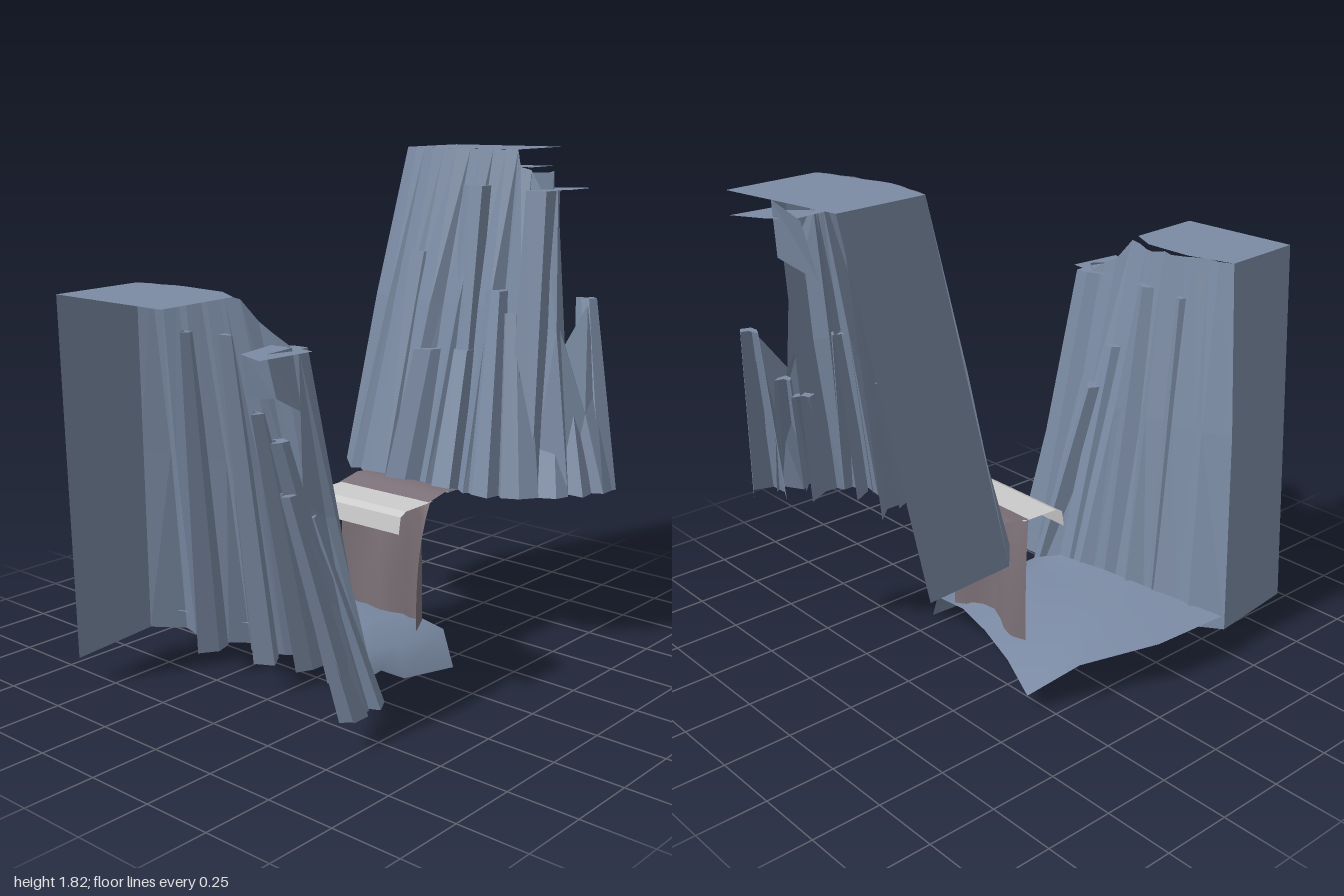
import * as THREE from 'three';

const make = (color, flatShading) => new THREE.MeshStandardMaterial({ color, flatShading, side: THREE.DoubleSide });
const slate = make(0x7b8ba4, true);
const soil = make(0x7b8ba4, false);
const brown = make(0x7d7279, false);
const grey = make(0xcccccc, true);

// Open surface joining rows of equally many [x, y, z] points
function sheet(name, rows, material) {
  const n = rows[0].length, index = [];
  for (let r = 0; r + 1 < rows.length; r++) {
    for (let i = 0; i + 1 < n; i++) {
      const a = r * n + i, b = a + n;
      index.push(a, a + 1, b + 1, a, b + 1, b);
    }
  }
  const geo = new THREE.BufferGeometry();
  geo.setAttribute('position', new THREE.Float32BufferAttribute(rows.flat(2), 3));
  geo.setIndex(index);
  geo.computeVertexNormals();
  const mesh = new THREE.Mesh(geo, material);
  mesh.name = name;
  return mesh;
}

// Flat cap from [x, z] corners at height y
function cap(name, corners, y) {
  const shape = new THREE.Shape(corners.map(([x, z]) => new THREE.Vector2(x, -z)));
  const mesh = new THREE.Mesh(new THREE.ShapeGeometry(shape).rotateX(-Math.PI / 2), slate);
  mesh.position.y = y;
  mesh.name = name;
  return mesh;
}

// Leaning, tapering rock column with a flat top, open below and on its hidden side
const columnProfile = [[1, 0], [1, 1], [0, 1]].map(([x, y]) => new THREE.Vector2(x, y));
function column([bx, bz, tx, ty, tz, r0, r1], y0, facing, seed) {
  const geo = new THREE.LatheGeometry(columnProfile, 4, facing - Math.PI * 2 / 3, Math.PI * 4 / 3);
  const p = geo.attributes.position;
  for (let i = 0; i < p.count; i++) {
    const t = p.getY(i), k = Math.floor(i / 3);
    const r = (r0 + (r1 - r0) * t) * (1 + 0.22 * Math.sin(k * 2.4 + seed * 1.7));
    p.setXYZ(i, bx + (tx - bx) * t + p.getX(i) * r, y0 + (ty - y0) * t, bz + (tz - bz) * t + p.getZ(i) * r);
  }
  const mesh = new THREE.Mesh(geo, slate);
  mesh.name = 'rockColumn';
  return mesh;
}

// Cliff: roof, back wall, faceted rock face, ledges and columns; outer side stays open
function cliff(name, c) {
  const g = new THREE.Group();
  g.name = name;
  g.add(cap('roof', c.roof, c.top));
  g.add(sheet('backWall', c.back, slate));
  const low = c.base.map(([x, z]) => [x, c.y0, z]);
  const mid = c.base.map(([x, z], i) => {
    const [tx, ty, tz] = c.rim[i];
    return [x * 0.46 + tx * 0.54, c.y0 * 0.46 + ty * 0.54, z * 0.46 + tz * 0.54 + (i % 2 ? 0.012 : -0.012)];
  });
  g.add(sheet('rockFace', [low, mid, c.rim], slate));
  g.add(sheet('overhang', c.overhang, slate));
  c.ledges.forEach(([y, pts]) => g.add(cap('ledge', pts, y)));
  c.columns.forEach((k, i) => g.add(column(k, c.y0, c.facing, i + 1)));
  return g;
}

const tallCliff = {
  y0: 0.6, top: 1.82, facing: -Math.PI / 4,
  roof: [[0.6, -0.29], [0.93, -0.31], [1, 0.15], [0.66, 0.18], [0.62, 0.04], [0.58, -0.1]],
  back: [[[0.75, 0.6, -0.46], [0.41, 0.6, -0.44]], [[0.93, 1.82, -0.31], [0.6, 1.82, -0.29]]],
  base: [[0.41, -0.44], [0.31, -0.33], [0.34, -0.28], [0.29, -0.22], [0.32, -0.16], [0.27, -0.08], [0.34, -0.02],
    [0.28, 0.06], [0.37, 0.12], [0.3, 0.22], [0.4, 0.28], [0.38, 0.4], [0.46, 0.4], [0.52, 0.53], [0.57, 0.5], [0.63, 0.61], [0.69, 0.61]],
  rim: [[0.6, 1.82, -0.29], [0.59, 1.82, -0.24], [0.59, 1.82, -0.2], [0.58, 1.82, -0.15], [0.58, 1.82, -0.1], [0.59, 1.82, -0.05],
    [0.61, 1.82, 0], [0.61, 1.82, 0.05], [0.63, 1.82, 0.09], [0.64, 1.82, 0.14], [0.66, 1.82, 0.18], [0.62, 1.76, 0.22],
    [0.63, 1.75, 0.26], [0.61, 1.68, 0.32], [0.64, 1.68, 0.37], [0.67, 1.12, 0.4], [0.77, 1.26, 0.43]],
  overhang: [[[0.62, 1.74, 0.24], [0.7, 1.74, 0.31], [0.78, 1.74, 0.26], [0.78, 1.7, 0.1]],
    [[0.64, 1.58, 0.28], [0.66, 1.54, 0.34], [0.75, 1.54, 0.29], [0.73, 1.5, 0.09]]],
  ledges: [
    [1.68, [[0.6, 0.22], [0.74, 0.2], [0.8, 0.27], [0.86, 0.38], [0.7, 0.38], [0.61, 0.33]]],
    [1.76, [[0.6, 0.1], [0.72, 0.12], [0.78, 0.26], [0.62, 0.27]]],
  ],
  columns: [
    [0.69, 0.54, 0.81, 1.28, 0.4, 0.07, 0.035], [0.59, 0.53, 0.7, 1.09, 0.38, 0.06, 0.03],
    [0.5, 0.48, 0.64, 1.02, 0.36, 0.06, 0.035], [0.41, 0.38, 0.53, 1.24, 0.27, 0.07, 0.04],
    [0.36, 0.27, 0.52, 1.32, 0.2, 0.07, 0.04], [0.33, 0.12, 0.46, 1.1, 0.1, 0.07, 0.05],
    [0.31, -0.07, 0.44, 1.09, -0.05, 0.07, 0.06], [0.35, -0.2, 0.53, 1.44, -0.16, 0.08, 0.06],
    [0.42, 0.08, 0.6, 1.69, 0.05, 0.1, 0.06], [0.5, 0.36, 0.63, 1.68, 0.31, 0.09, 0.07],
  ],
};

const lowCliff = {
  y0: 0.1, top: 1.41, facing: Math.PI / 4,
  roof: [[-1, 0.09], [-1, -0.4], [-0.65, -0.43], [-0.61, -0.25], [-0.62, -0.05], [-0.68, 0.06]],
  back: [[[-0.84, 0.1, -0.58], [-0.48, 0.1, -0.62]], [[-1, 1.41, -0.4], [-0.65, 1.41, -0.43]]],
  base: [[-0.48, -0.62], [-0.4, -0.51], [-0.42, -0.44], [-0.38, -0.36], [-0.4, -0.29], [-0.35, -0.23], [-0.38, -0.14],
    [-0.35, -0.06], [-0.31, -0.01], [-0.34, 0.08], [-0.29, 0.18], [-0.38, 0.25], [-0.38, 0.34], [-0.45, 0.46], [-0.49, 0.42], [-0.54, 0.49], [-0.61, 0.49]],
  rim: [[-0.65, 1.41, -0.43], [-0.63, 1.41, -0.38], [-0.63, 1.41, -0.33], [-0.61, 1.41, -0.28], [-0.62, 1.4, -0.23], [-0.6, 1.4, -0.18],
    [-0.62, 1.4, -0.13], [-0.61, 1.39, -0.08], [-0.62, 1.39, -0.04], [-0.63, 1.4, 0], [-0.65, 1.4, 0.06], [-0.61, 1.33, 0.1],
    [-0.61, 1.3, 0.16], [-0.59, 1.26, 0.22], [-0.61, 1.26, 0.27], [-0.66, 0.8, 0.33], [-0.74, 0.84, 0.35]],
  overhang: [[[-0.73, 1.26, 0.14], [-0.73, 1.26, 0.25], [-0.64, 1.27, 0.27], [-0.58, 1.26, 0.18]],
    [[-0.69, 1.1, 0.13], [-0.7, 1.12, 0.26], [-0.62, 1.07, 0.29], [-0.58, 1.1, 0.2]]],
  ledges: [[1.26, [[-0.58, 0.14], [-0.78, 0.19], [-0.82, 0.31], [-0.6, 0.32]]]],
  columns: [
    [-0.55, 0.42, -0.73, 1, 0.29, 0.06, 0.035], [-0.59, 0.44, -0.74, 0.84, 0.33, 0.05, 0.03],
    [-0.46, 0.42, -0.63, 0.75, 0.32, 0.06, 0.03], [-0.36, 0.2, -0.49, 0.86, 0.08, 0.07, 0.04],
    [-0.37, 0.06, -0.55, 1.02, 0.03, 0.06, 0.04], [-0.43, 0.3, -0.6, 1.26, 0.22, 0.07, 0.05],
    [-0.42, -0.1, -0.59, 1.27, -0.08, 0.07, 0.04], [-0.46, -0.32, -0.6, 1.26, -0.25, 0.07, 0.03],
  ],
};

export function createModel() {
  const model = new THREE.Group();
  model.name = 'canyon';
  model.add(cliff('tallCliff', tallCliff), cliff('lowCliff', lowCliff));

  // Uneven valley floor, dropping away at its front lip
  model.add(sheet('valleyFloor', [
    [[-0.28, 0.06, 0.24], [-0.18, 0.07, 0.24], [-0.09, 0.02, 0.27], [0.14, 0, 0.31]],
    [[-0.29, 0.15, 0.19], [-0.18, 0.14, 0.2], [-0.06, 0.12, 0.22], [0.17, 0.12, 0.24]],
    [[-0.32, 0.19, 0.08], [-0.18, 0.17, 0.08], [-0.03, 0.18, 0.08], [0.18, 0.14, 0.08]],
    [[-0.36, 0.19, -0.12], [-0.2, 0.17, -0.12], [-0.02, 0.17, -0.12], [0.21, 0.13, -0.08]],
    [[-0.4, 0.18, -0.35], [-0.2, 0.17, -0.35], [0, 0.16, -0.33], [0.25, 0.1, -0.25]],
    [[-0.45, 0.17, -0.63], [-0.15, 0.16, -0.6], [0.12, 0.13, -0.48], [0.31, 0.06, -0.42]],
  ], soil));

  // Wavy rock drop below the shelf
  const drop = [];
  for (let j = 0; j <= 8; j++) {
    const t = j / 8, row = [];
    for (let i = 0; i <= 8; i++) {
      const u = i / 8;
      const foot = i === 0 ? 0.06 : 0.135 + 0.03 * Math.sin(u * 8 + 1);
      row.push([0.135 + (foot - 0.135) * (1 - t ** 3), 0.13 + 0.47 * t, 0.2 - 0.43 * u]);
    }
    drop.push(row);
  }
  model.add(sheet('rockDrop', drop, brown));

  // Thin shelf with a downturned lip, and the brown bed behind it
  const run = (profile) => [0.2, -0.02, -0.225].map((z) => profile.map(([x, y]) => [x, y, z]));
  model.add(sheet('shelf', run([[-0.04, 0.52], [-0.03, 0.58], [0, 0.595], [0.15, 0.598]]), grey));
  model.add(sheet('upperBed', run([[0.13, 0.6], [0.18, 0.61], [0.23, 0.62], [0.3, 0.61]]), brown));
  return model;
}
